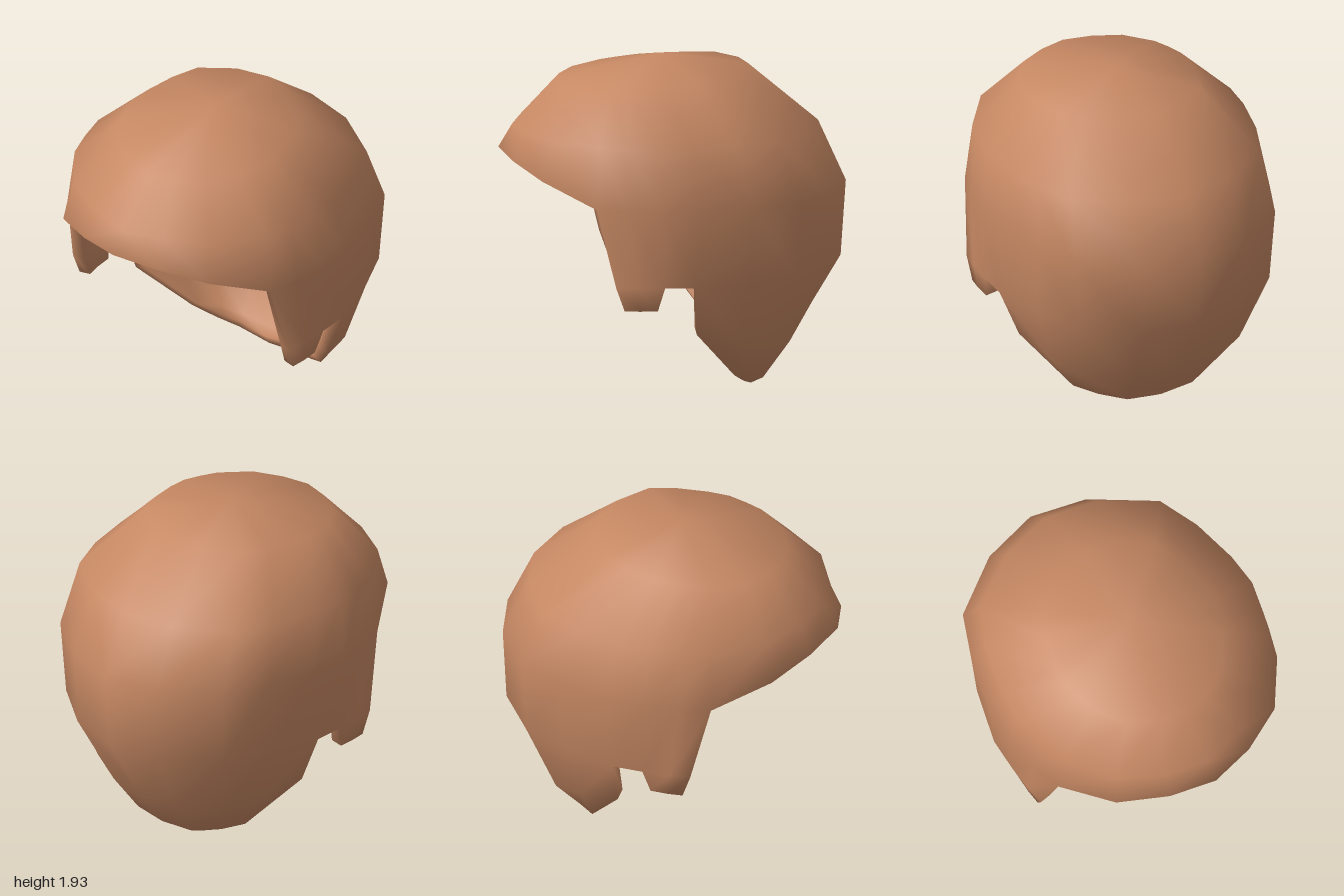
import * as THREE from 'three';

const COLUMNS = 20, HALF = 10, THICKNESS = 0.07;

// Shared egg-shaped outline, front centre to back centre, as fractions of half width and half depth
const OUTLINE_X = [0, 0.32, 0.64, 0.885, 0.95, 1, 0.98, 0.9, 0.77, 0.39, 0];
const OUTLINE_Z = [1, 0.93, 0.78, 0.48, 0.3, 0.1, -0.12, -0.43, -0.7, -0.92, -1];

// One half cross-section of the dome; height(f) follows the depth fraction f
const domeSection = (halfWidth, front, back, height) => ({
  from: 0,
  pts: OUTLINE_X.map((x, i) => {
    const f = OUTLINE_Z[i];
    return [x * halfWidth, height(f), (front + back) / 2 + f * (front - back) / 2];
  }),
});

// Cross-sections from crown to neck; "from" is the first column left beside the face opening
const cheek = { from: 3, pts: [[0.79, 0.72, 0.37], [0.81, 0.72, 0.25], [0.82, 0.72, 0.09],
  [0.82, 0.72, -0.09], [0.74, 0.73, -0.4], [0.62, 0.73, -0.68], [0.32, 0.73, -0.9], [0, 0.73, -0.97]] };
const jaw = { from: 3, pts: [[0.78, 0.58, 0.32], [0.79, 0.58, 0.23], [0.79, 0.58, 0.13],
  [0.7, 0.42, -0.1], [0.63, 0.36, -0.35], [0.5, 0.3, -0.54], [0.26, 0.28, -0.66], [0, 0.28, -0.7]] };
const nape = { from: 7, pts: [[0.47, 0.13, -0.33], [0.35, 0.1, -0.44], [0.21, 0.06, -0.51], [0, 0.05, -0.53]] };
const neckLip = { from: 8, pts: [[0.34, 0.07, -0.39], [0.21, 0.03, -0.44], [0, 0, -0.45]] };

const createSections = () => [
  domeSection(0.5, 0.68, -0.44, (f) => 1.82 - 0.04 * f),
  domeSection(0.795, 0.92, -0.84, () => 1.525),
  domeSection(0.84, 1, -1, (f) => 1.17 + 0.423 * Math.max(0, f - 0.48)), // brim rises to the front
  cheek, jaw, nape, neckLip,
];

// Outer skin: mirrored grid with the face opening and ear notches left out
function outerSkin() {
  const positions = [0, 1.93, 0.06];
  const ids = createSections().map(({ from, pts }) => {
    const row = [];
    for (let c = 0; c < COLUMNS; c++) {
      const h = c <= HALF ? c : COLUMNS - c;
      if (h < from) { row.push(-1); continue; }
      const [x, y, z] = pts[h - from];
      row.push(positions.length / 3);
      positions.push(c <= HALF ? x : -x, y, z);
    }
    return row;
  });
  const faces = [];
  for (let c = 0; c < COLUMNS; c++) {
    const n = (c + 1) % COLUMNS;
    faces.push([0, ids[0][c], ids[0][n]]);
    for (let r = 0; r < ids.length - 1; r++) {
      if (r === 3 && (c === 5 || c === 14)) continue; // ear notch
      const a = ids[r][c], b = ids[r][n], d = ids[r + 1][c], e = ids[r + 1][n];
      if (a < 0 || b < 0) continue;
      if (d >= 0 && e >= 0) {
        if (c < HALF) faces.push([a, d, e], [a, e, b]);
        else faces.push([a, d, b], [b, d, e]);
      } else if (r >= 4 && e >= 0) faces.push([a, e, b]);
      else if (r >= 4 && d >= 0) faces.push([a, d, b]);
    }
  }
  return { positions, faces };
}

function makeGeometry(positions, faces) {
  const g = new THREE.BufferGeometry();
  g.setAttribute('position', new THREE.Float32BufferAttribute(positions, 3));
  g.setIndex(faces.flat());
  g.computeVertexNormals();
  return g;
}

// Thicken the skin inwards and close every open edge with a rim
function shellGeometry() {
  const { positions, faces } = outerSkin();
  const normals = makeGeometry(positions, faces).attributes.normal.array;
  const count = positions.length / 3;
  const inner = positions.map((p, i) => p - normals[i] * THICKNESS);
  const edges = new Set();
  for (const f of faces) f.forEach((u, i) => edges.add(u + ',' + f[(i + 1) % 3]));
  const all = [...faces];
  for (const [a, b, c] of faces) {
    all.push([c + count, b + count, a + count]);
    for (const [u, v] of [[a, b], [b, c], [c, a]]) {
      if (!edges.has(v + ',' + u)) all.push([v, u, u + count], [v, u + count, v + count]);
    }
  }
  return makeGeometry([...positions, ...inner], all);
}

export function createModel() {
  const group = new THREE.Group();
  group.name = 'helmet';
  const clay = new THREE.MeshStandardMaterial({ color: 0xc68863 });
  clay.name = 'clay brown';
  const shell = new THREE.Mesh(shellGeometry(), clay);
  shell.name = 'helmetShell';
  group.add(shell);
  return group;
}
